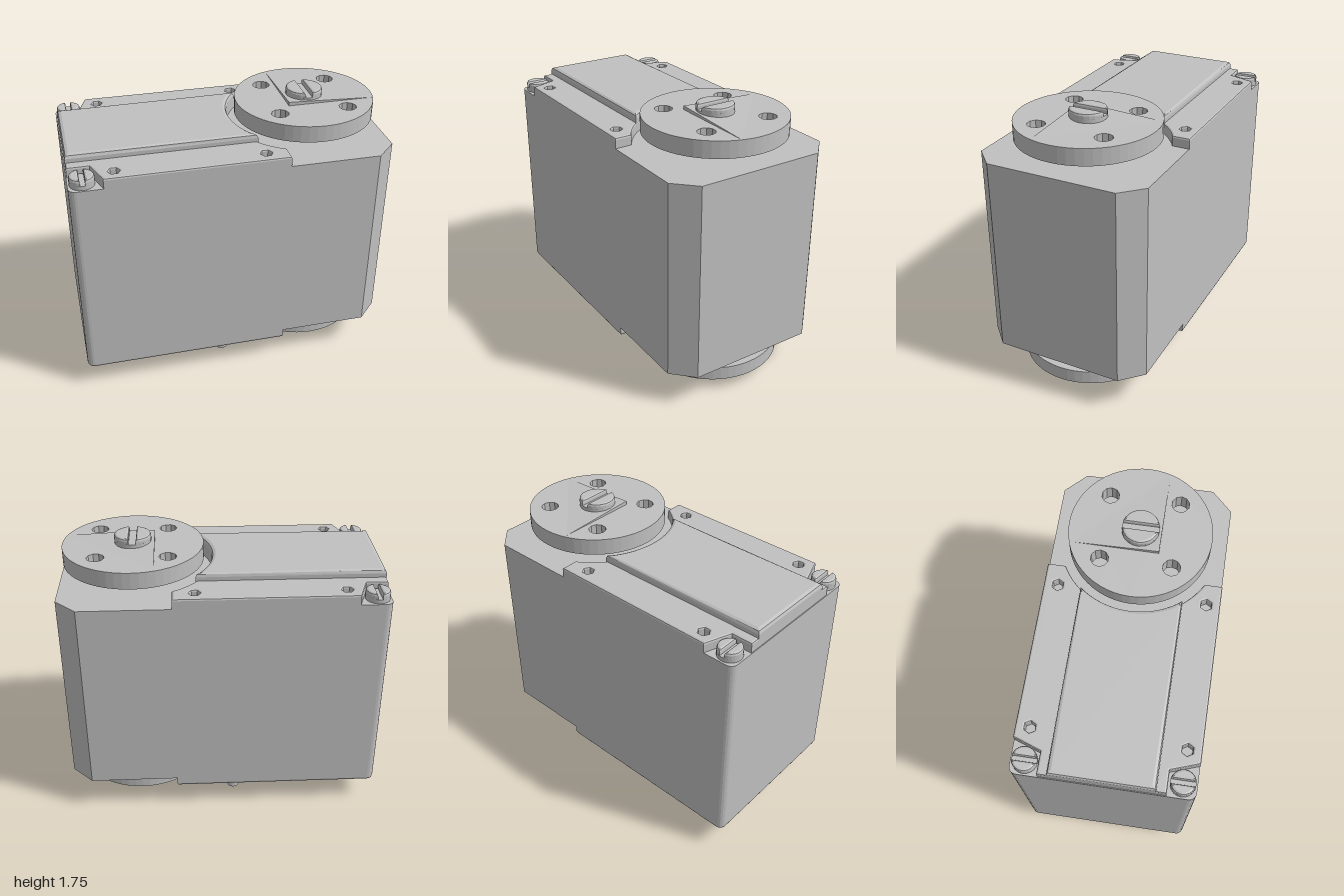
import * as THREE from 'three';

const grey = new THREE.MeshStandardMaterial({ color: 0xc0c0c0 });
grey.name = 'grey plastic';
const CX = 0.545; // x of the output axis
const CUT = 0.49; // radius of the clearance around the discs

// Outline from [x, z] points
const outline = (pts) => new THREE.Shape(pts.map(([x, z]) => new THREE.Vector2(x, -z)));

// Circular hole or disc outline
function circle(Type, x, z, r, n) {
  const pts = [];
  for (let i = 0; i < n; i++) {
    const a = (i / n) * Math.PI * 2;
    pts.push(new THREE.Vector2(x + r * Math.cos(a), -z + r * Math.sin(a)));
  }
  return new Type(pts);
}

// Points on the clearance arc between two z values
function arc(z0, z1, n = 12) {
  return Array.from({ length: n + 1 }, (_, i) => {
    const z = z0 + ((z1 - z0) * i) / n;
    return [CX - Math.sqrt(CUT * CUT - z * z), z];
  });
}

function add(group, name, geo) {
  const mesh = new THREE.Mesh(geo, grey);
  mesh.name = name;
  group.add(mesh);
  return mesh;
}

// Horizontal slab between two heights, optionally with bevelled edges
function slab(shape, y0, y1, bevel = 0) {
  const geo = new THREE.ExtrudeGeometry(shape, {
    depth: y1 - y0 - 2 * bevel, bevelEnabled: bevel > 0, bevelThickness: bevel,
    bevelSize: bevel, bevelOffset: -bevel, bevelSegments: 2, curveSegments: 12,
  });
  geo.rotateX(-Math.PI / 2);
  geo.translate(0, y0 + bevel, 0);
  return geo;
}

function cylinder(r, y0, y1, x = CX, z = 0, n = 40) {
  return new THREE.CylinderGeometry(r, r, y1 - y0, n).translate(x, (y0 + y1) / 2, z);
}

// Slotted screw head: a base disc and two rounded halves
function screw(name, x, z, r, y0, y1, slot) {
  const g = new THREE.Group();
  g.name = name;
  const mid = y0 + (y1 - y0) * 0.5;
  add(g, 'screwBase', cylinder(r, y0, mid, x, z, 20));
  const a0 = Math.asin(slot / 2 / r);
  for (const s of [1, -1]) {
    const pts = [];
    for (let i = 0; i <= 10; i++) {
      const a = a0 + ((Math.PI - 2 * a0) * i) / 10;
      pts.push([x + s * r * Math.sin(a), z + r * Math.cos(a)]);
    }
    // keep the flat side parallel to the slot
    pts[0][0] = pts[10][0] = x + (s * slot) / 2;
    add(g, 'screwHalf', slab(outline(pts), mid - 0.015, y1, 0.015));
  }
  return g;
}

// Shallow raised facet: corner a is lifted above or below the disc face
function facet(a, b, c) {
  const d = [a[0], b[1], a[2]];
  const tris = [a, b, c, a, d, b, a, c, d];
  const geo = new THREE.BufferGeometry();
  geo.setAttribute('position', new THREE.Float32BufferAttribute(tris.flat(), 3));
  geo.computeVertexNormals();
  return geo;
}

// Round horn disc with four screw holes
function horn(y0, y1, centreHole) {
  const shape = circle(THREE.Shape, CX, 0, 0.44, 56);
  for (const x of [-0.218, 0.218])
    for (const z of [-0.218, 0.218])
      shape.holes.push(circle(THREE.Path, CX + x, z, 0.055, 10));
  if (centreHole) shape.holes.push(circle(THREE.Path, CX, 0, 0.05, 10));
  return slab(shape, y0, y1);
}

export function createModel() {
  const model = new THREE.Group();
  model.name = 'servoMotor';

  // Main case, rounded at the rear and chamfered at the output end
  const r = 0.045;
  const rear = [];
  for (let i = 0; i <= 5; i++) {
    const a = (i / 5) * Math.PI / 2;
    rear.push([-1 + r - r * Math.sin(a), 0.54 - r + r * Math.cos(a)]);
  }
  const rearMirror = rear.map(([x, z]) => [x, -z]).reverse();
  add(model, 'case', slab(outline([
    [1, -0.41], [1, 0.41], [0.87, 0.54], ...rear, ...rearMirror, [0.87, -0.54],
  ]), 0.225, 1.49));

  // Bottom cover, open around the lower disc and the connector pins
  const bottom = outline([
    [0.31, 0.54], ...rear, ...rearMirror, [0.31, -0.54],
    ...arc(-0.43, -0.35, 3), [-0.19, -0.35], [-0.19, 0.35], ...arc(0.35, 0.43, 3),
  ]);
  for (const x of [-0.92, 0.17])
    for (const z of [-0.455, 0.455]) bottom.holes.push(circle(THREE.Path, x, z, 0.04, 6));
  add(model, 'bottomCover', slab(bottom, 0.16, 0.245, 0.02));

  // Sloped block under the case
  const wedge = new THREE.ExtrudeGeometry(new THREE.Shape([
    new THREE.Vector2(-0.77, 0.17), new THREE.Vector2(-0.77, 0.08),
    new THREE.Vector2(-0.32, 0.08), new THREE.Vector2(-0.19, 0.16),
    new THREE.Vector2(-0.19, 0.17),
  ]), { depth: 0.82, bevelEnabled: false });
  add(model, 'bottomWedge', wedge.translate(0, 0, -0.41));

  // Two rows of three connector pins
  for (const s of [1, -1])
    for (const z of [0.125, 0.235, 0.342])
      add(model, 'connectorPin', cylinder(0.039, 0, 0.235, -0.07, s * z, 8));

  // Raised top cover, hollowed around the upper disc
  add(model, 'topCover', slab(outline([
    [-0.995, 0.31], [-0.995, -0.31], ...arc(-0.31, 0.31, 24),
  ]), 1.465, 1.605, 0.025));

  // Side rails and rear screws
  for (const s of [1, -1]) {
    const rail = outline([
      [-0.995, 0.29], [-0.995, 0.37], [-0.86, 0.37], [-0.8, 0.54], [0.31, 0.54],
      ...arc(0.43, 0.29, 8),
    ].map(([x, z]) => [x, s * z]));
    for (const x of [-0.73, 0.175])
      rail.holes.push(circle(THREE.Path, x, s * 0.455, 0.035, 6));
    add(model, 'topRail', slab(rail, 1.478, 1.555, 0.012));
    model.add(screw('caseScrew', -0.915, s * 0.455, 0.075, 1.48, 1.552, 0.03));
  }

  // Upper output: neck, hub, disc and screw
  add(model, 'upperNeck', cylinder(0.105, 1.48, 1.51));
  add(model, 'upperHub', cylinder(0.197, 1.507, 1.58));
  add(model, 'upperDisc', horn(1.575, 1.68, false));
  add(model, 'upperDiscFacet', facet([0.41, 1.705, 0.13], [0.96, 1.681, 0.13], [0.41, 1.681, -0.4]));
  model.add(screw('outputScrew', CX, 0, 0.115, 1.68, 1.745, 0.045));

  // Lower support: neck and disc
  add(model, 'lowerNeck', cylinder(0.13, 0.14, 0.24));
  add(model, 'lowerDisc', horn(0.08, 0.168, true));
  add(model, 'lowerDiscFacet', facet([0.68, 0.056, 0.13], [0.2, 0.079, 0.06], [0.88, 0.079, -0.27]));
  return model;
}
